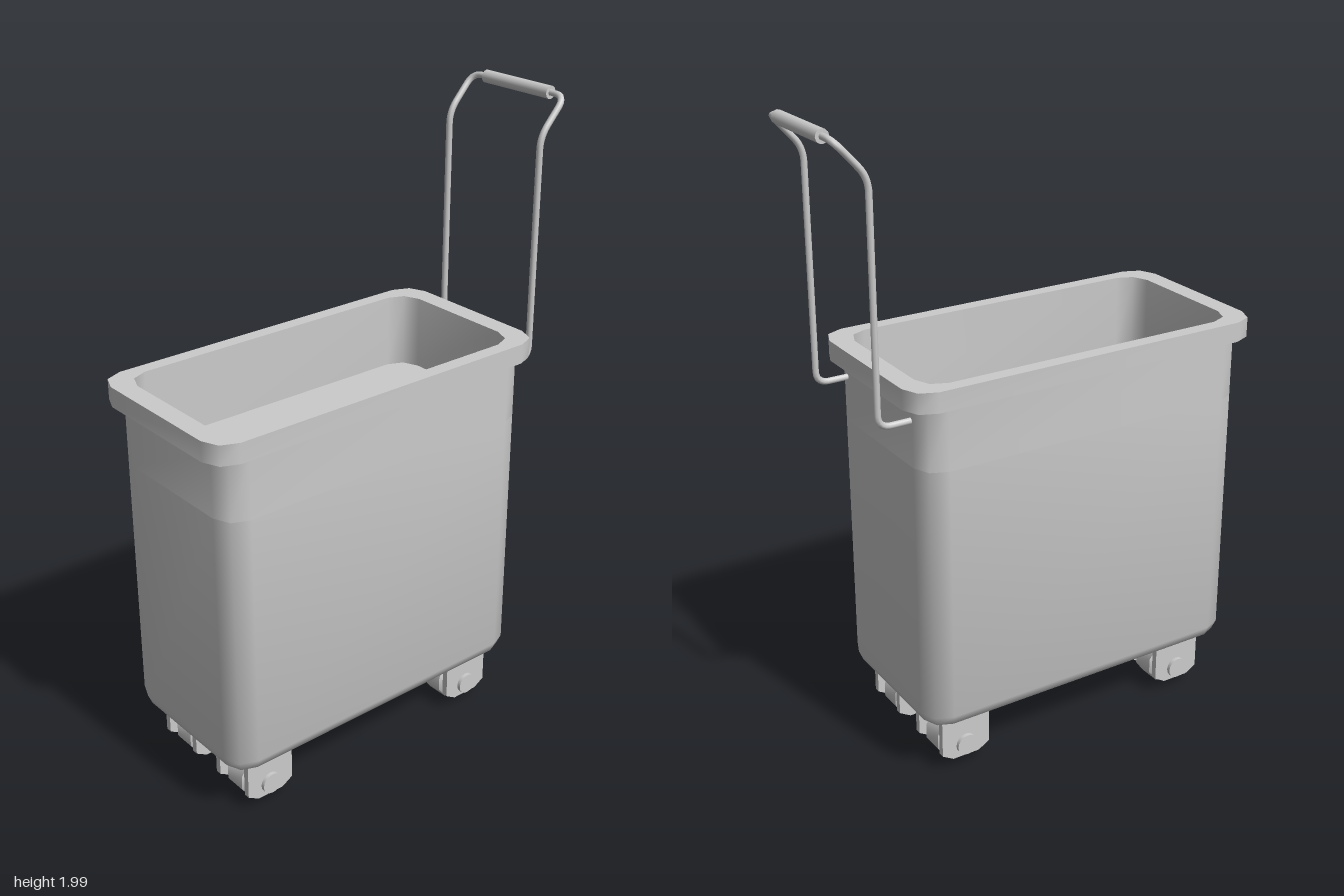
import * as THREE from 'three';
import { toCreasedNormals } from 'three/addons/utils/BufferGeometryUtils.js';

const MID_Z = 0.09; // the tub sits forward of the origin, the handle behind it
const material = new THREE.MeshStandardMaterial({ color: 0xcccccc });

function add(parent, name, geometry, x = 0, y = 0, z = 0) {
  const mesh = new THREE.Mesh(geometry, material);
  mesh.name = name;
  mesh.position.set(x, y, z);
  parent.add(mesh);
  return mesh;
}

// Rounded rectangle in the xz plane: half width, half length, corner radius, height
function ring([w, l, r, y], steps) {
  const points = [];
  for (let corner = 0; corner < 4; corner++) {
    const sx = corner === 0 || corner === 3 ? 1 : -1;
    const sz = corner < 2 ? 1 : -1;
    for (let i = 0; i <= steps; i++) {
      const a = (corner + i / steps) * Math.PI / 2;
      points.push(sx * (w - r) + r * Math.cos(a), y, sz * (l - r) + r * Math.sin(a));
    }
  }
  return points;
}

// Skin over successive rings, capped at both ends
function loft(sections, crease, steps = 2) {
  const n = 4 * (steps + 1);
  const positions = sections.flatMap((s) => ring(s, steps));
  const index = [];
  for (let i = 0; i < sections.length - 1; i++) {
    for (let j = 0; j < n; j++) {
      const a = i * n + j, b = i * n + (j + 1) % n;
      index.push(a, a + n, b, b, a + n, b + n);
    }
  }
  const last = (sections.length - 1) * n;
  for (let j = 1; j < n - 1; j++) {
    index.push(0, j, j + 1, last, last + j + 1, last + j);
  }
  const geometry = new THREE.BufferGeometry();
  geometry.setAttribute('position', new THREE.Float32BufferAttribute(positions, 3));
  geometry.setIndex(index);
  return toCreasedNormals(geometry, crease);
}

// Wheel between two fork plates, on a thick axle
function createCaster(x, z) {
  const caster = new THREE.Group();
  caster.name = 'caster';
  caster.position.set(x, 0.083, z);

  const profile = [[0, -0.047], [0.062, -0.047], [0.076, -0.036], [0.076, 0.036], [0.062, 0.047], [0, 0.047]]
    .map(([r, h]) => new THREE.Vector2(r, h));
  const wheel = new THREE.LatheGeometry(profile, 10, Math.PI / 2);
  wheel.rotateZ(Math.PI / 2);
  add(caster, 'wheel', toCreasedNormals(wheel, 0.7));

  const axle = new THREE.CylinderGeometry(0.034, 0.034, 0.19, 16);
  axle.rotateZ(Math.PI / 2);
  add(caster, 'axle', axle);

  const outline = new THREE.Shape([
    [-0.082, 0.12], [-0.082, -0.02], [-0.045, -0.042], [0.045, -0.042], [0.082, -0.02], [0.082, 0.12],
  ].map(([u, v]) => new THREE.Vector2(u, v)));
  const plate = new THREE.ExtrudeGeometry(outline, { depth: 0.02, bevelEnabled: false });
  plate.translate(0, 0, -0.01);
  plate.rotateY(Math.PI / 2);
  for (const side of [-1, 1]) add(caster, 'forkPlate', plate, side * 0.073);
  return caster;
}

// Polyline with rounded corners
function roundedPath(points, radius) {
  const path = new THREE.CurvePath();
  let from = points[0];
  for (let i = 1; i < points.length - 1; i++) {
    const p = points[i];
    const toward = (q) => q.clone().sub(p).setLength(radius).add(p);
    const enter = toward(points[i - 1]), leave = toward(points[i + 1]);
    path.add(new THREE.LineCurve3(from, enter));
    path.add(new THREE.QuadraticBezierCurve3(enter, p, leave));
    from = leave;
  }
  path.add(new THREE.LineCurve3(from, points[points.length - 1]));
  return path;
}

function createHandle() {
  const handle = new THREE.Group();
  handle.name = 'handle';
  const side = [[1.18, -0.44], [1.18, -0.563], [1.875, -0.563], [1.98, -0.658]];
  const points = [
    ...side.map(([y, z]) => new THREE.Vector3(-0.193, y, z)),
    ...side.reverse().map(([y, z]) => new THREE.Vector3(0.193, y, z)),
  ];
  add(handle, 'handleBar', new THREE.TubeGeometry(roundedPath(points, 0.04), 200, 0.01, 8));
  const grip = new THREE.CylinderGeometry(0.02, 0.02, 0.27, 12);
  grip.rotateZ(Math.PI / 2);
  add(handle, 'grip', grip, 0, 1.98, -0.658);
  return handle;
}

export function createModel() {
  const model = new THREE.Group();
  model.name = 'wheeledBin';

  // Outer shell with a rounded bottom edge
  add(model, 'body', loft([
    [0.235, 0.51, 0.05, 0.19],
    [0.264, 0.54, 0.065, 0.203],
    [0.277, 0.553, 0.075, 0.235],
    [0.277, 0.553, 0.075, 1.04],
  ], 0.9), 0, 0, MID_Z);

  // Upper shell, overhanging rim and the sunken tray inside, as one skin
  add(model, 'rimAndTray', loft([
    [0.277, 0.553, 0.075, 1.04],
    [0.277, 0.553, 0.075, 1.23],
    [0.295, 0.592, 0.075, 1.23],
    [0.295, 0.592, 0.075, 1.292],
    [0.25, 0.53, 0.07, 1.292],
    [0.25, 0.53, 0.07, 1.06],
  ], 0.9), 0, 0, MID_Z);

  for (const x of [-0.137, 0.137]) {
    for (const z of [0.488, -0.318]) model.add(createCaster(x, z));
  }
  model.add(createHandle());
  return model;
}
